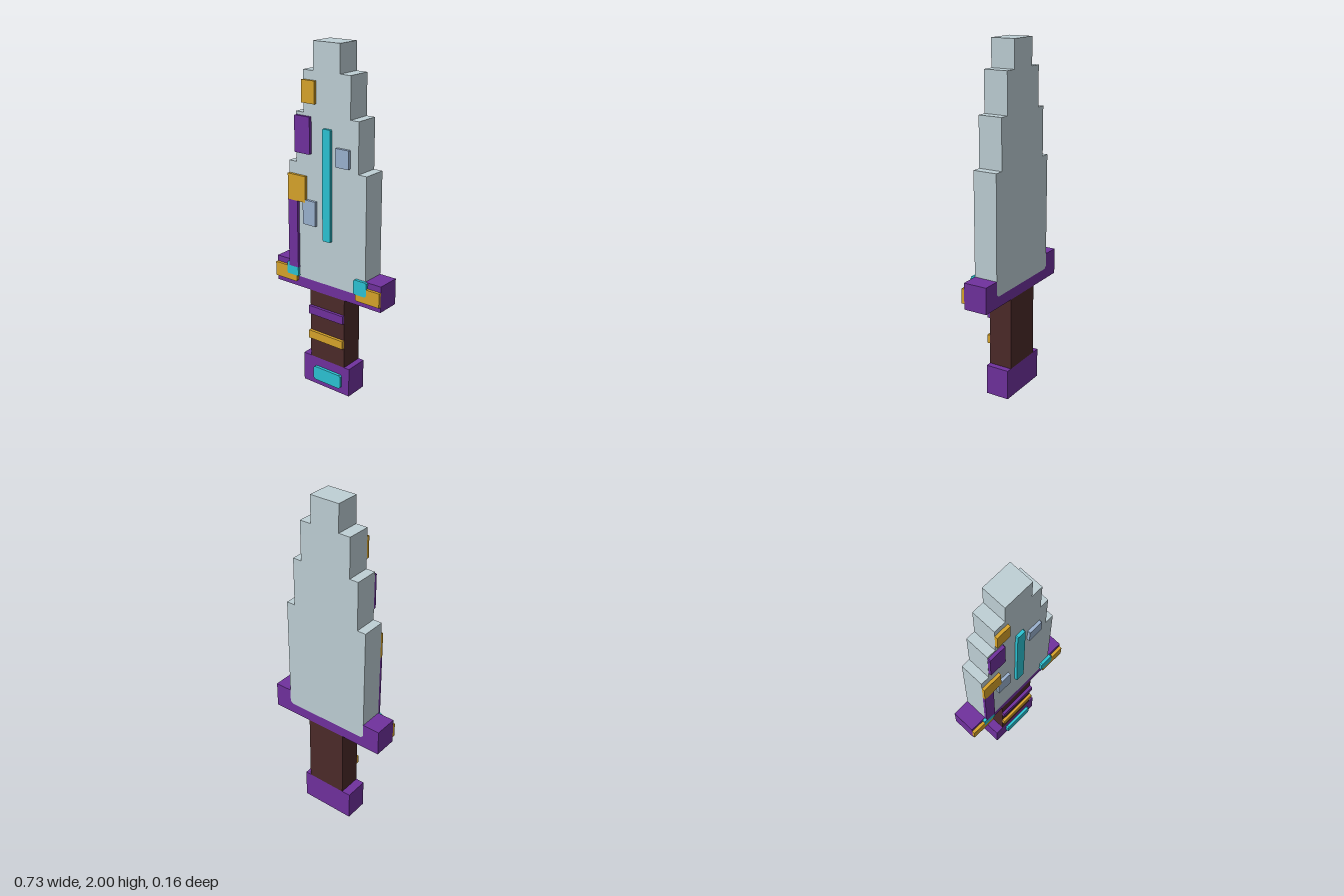
import * as THREE from 'three';

const material = (name, color) => {
  const m = new THREE.MeshStandardMaterial({ color });
  m.name = name;
  return m;
};

export function createModel() {
  const steel = material('paleSteel', 0xbfd0d6);
  const purple = material('purple', 0x70319e);
  const brown = material('darkBrown', 0x4c2a29);
  const gold = material('gold', 0xd8a42a);
  const teal = material('teal', 0x2cc4d4);
  const slate = material('slateBlue', 0x9bb2cf);

  const model = new THREE.Group();
  model.name = 'pixelDagger';
  const BACK = -0.08, FACE = 0.06, RAISED = 0.077;

  // Extrudes an outline between two depths
  function slab(name, mat, points, z0 = BACK, z1 = FACE) {
    const shape = new THREE.Shape(points.map(([x, y]) => new THREE.Vector2(x, y)));
    const geo = new THREE.ExtrudeGeometry(shape, { depth: z1 - z0, bevelEnabled: false });
    geo.translate(0, 0, z0);
    const mesh = new THREE.Mesh(geo, mat);
    mesh.name = name;
    model.add(mesh);
  }

  // Rectangle outline, optionally with cut corners
  const rect = (x0, x1, y0, y1, c = 0) => c === 0
    ? [[x0, y0], [x1, y0], [x1, y1], [x0, y1]]
    : [[x0 + c, y0], [x1 - c, y0], [x1, y0 + c], [x1, y1 - c],
      [x1 - c, y1], [x0 + c, y1], [x0, y1 - c], [x0, y0 + c]];

  // Raised inlay on the front face
  const inlay = (name, mat, points) => slab(name, mat, points, FACE, RAISED);

  // Stepped blade, its foot set into the guard
  slab('blade', steel, [
    [-0.247, 0.66], [0.247, 0.66], [0.262, 0.675], [0.262, 1.34], [0.209, 1.34],
    [0.209, 1.62], [0.156, 1.62], [0.156, 1.847], [0.088, 1.847], [0.088, 2],
    [-0.088, 2], [-0.088, 1.847], [-0.157, 1.847], [-0.157, 1.62], [-0.21, 1.62],
    [-0.21, 1.34], [-0.262, 1.34], [-0.262, 0.675],
  ]);

  // Guard with a notch for the blade
  slab('guard', purple, [
    [-0.365, 0.598], [0.365, 0.598], [0.365, 0.75], [0.262, 0.75], [0.262, 0.675],
    [0.247, 0.66], [-0.247, 0.66], [-0.262, 0.675], [-0.262, 0.75], [-0.365, 0.75],
  ]);

  // Grip and pommel
  slab('grip', brown, rect(-0.121, 0.121, 0.176, 0.598));
  slab('pommel', purple, rect(-0.174, 0.156, 0, 0.176));
  inlay('upperGripBand', purple, rect(-0.121, 0.121, 0.456, 0.506));
  inlay('lowerGripBand', gold, rect(-0.121, 0.121, 0.299, 0.349));
  inlay('pommelGem', teal, rect(-0.09, 0.105, 0.037, 0.122, 0.01));

  // Guard ornaments: gold ends cut around the teal gems
  inlay('rightGuardPlate', gold, [
    [-0.365, 0.63], [-0.215, 0.63], [-0.207, 0.638], [-0.207, 0.667],
    [-0.271, 0.667], [-0.279, 0.675], [-0.279, 0.715], [-0.365, 0.715],
  ]);
  inlay('leftGuardPlate', gold, [
    [0.215, 0.63], [0.365, 0.63], [0.365, 0.715], [0.279, 0.715],
    [0.279, 0.675], [0.271, 0.667], [0.207, 0.667], [0.207, 0.638],
  ]);
  inlay('rightGuardGem', teal, [
    [-0.271, 0.667], [-0.197, 0.667], [-0.197, 0.72], [-0.262, 0.72],
    [-0.262, 0.745], [-0.279, 0.737], [-0.279, 0.675],
  ]);
  inlay('leftGuardGem', teal, rect(0.193, 0.279, 0.667, 0.753, 0.008));

  // Blade inlays
  inlay('centreStrip', teal, rect(-0.019, 0.036, 0.925, 1.553, 0.005));
  inlay('edgeStrip', purple, rect(-0.262, -0.196, 0.72, 1.12));
  inlay('lowerGoldPatch', gold, rect(-0.262, -0.139, 1.12, 1.27));
  inlay('purplePatch', purple, rect(-0.209, -0.104, 1.398, 1.603, 0.004));
  inlay('upperGoldPatch', gold, rect(-0.157, -0.07, 1.675, 1.797));
  inlay('upperSlatePatch', slate, rect(0.069, 0.157, 1.36, 1.463, 0.003));
  inlay('lowerSlatePatch', slate, [
    [-0.154, 0.995], [-0.07, 0.995], [-0.07, 1.137], [-0.139, 1.137],
    [-0.139, 1.12], [-0.157, 1.12], [-0.157, 0.998],
  ]);

  return model;
}
